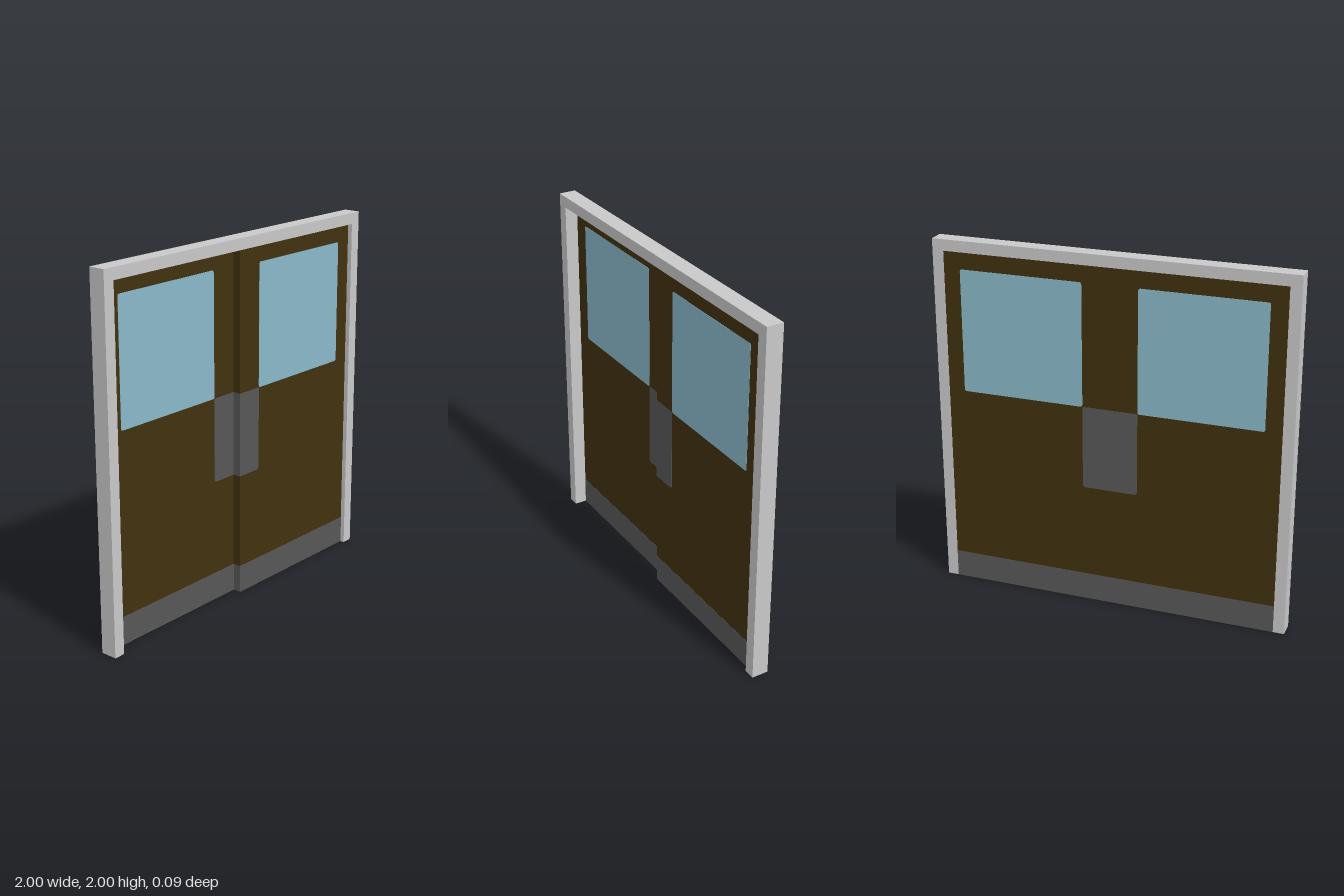
import * as THREE from 'three';

const DEPTH = 0.094, BACK = -DEPTH / 2, INNER = 0.9375, KICK = 0.157, PROUD = 0.0015;

const mat = (name, color) => {
  const m = new THREE.MeshStandardMaterial({ color });
  m.name = name;
  return m;
};

// Extrude a shape between two z planes
function slab(name, shape, z0, z1, material) {
  const geo = new THREE.ExtrudeGeometry(shape, { depth: z1 - z0, bevelEnabled: false, curveSegments: 3 });
  geo.translate(0, 0, z0);
  const mesh = new THREE.Mesh(geo, material);
  mesh.name = name;
  return mesh;
}

const polygon = (pts) => new THREE.Shape(pts.map(([x, y]) => new THREE.Vector2(x, y)));
const rect = (x0, y0, x1, y1) => polygon([[x0, y0], [x1, y0], [x1, y1], [x0, y1]]);

// Rectangle with small rounded corners
function roundedRect(x0, y0, x1, y1, r) {
  const s = new THREE.Shape();
  s.moveTo(x0 + r, y0);
  s.lineTo(x1 - r, y0).quadraticCurveTo(x1, y0, x1, y0 + r);
  s.lineTo(x1, y1 - r).quadraticCurveTo(x1, y1, x1 - r, y1);
  s.lineTo(x0 + r, y1).quadraticCurveTo(x0, y1, x0, y1 - r);
  s.lineTo(x0, y0 + r).quadraticCurveTo(x0, y0, x0 + r, y0);
  return s;
}

export function createModel() {
  const group = new THREE.Group();
  group.name = 'doubleDoor';
  const frameGrey = mat('frameGrey', 0xc8c8c8);
  const doorBrown = mat('doorBrown', 0x40310f);
  const plateGrey = mat('plateGrey', 0x575757);
  const glassBlue = mat('glassBlue', 0x8ab8c9);

  // Frame: two jambs and a header in one piece
  group.add(slab('frame', polygon([
    [-1, 0], [-INNER, 0], [-INNER, INNER + 1], [INNER, INNER + 1],
    [INNER, 0], [1, 0], [1, 2], [-1, 2],
  ]), BACK, -BACK, frameGrey));

  // Two leaves, flush at the back; the left one is thicker
  for (const [side, s, thickness] of [['left', 1, 0.07], ['right', -1, 0.0235]]) {
    const leaf = new THREE.Group();
    leaf.name = side + 'Leaf';
    const z0 = BACK, z1 = BACK + thickness;
    const span = (a, b) => (s > 0 ? [a, b] : [-b, -a]);

    const [d0, d1] = span(0, INNER);
    leaf.add(slab('doorPanel', rect(d0, KICK, d1, INNER + 1), z0 + PROUD, z1 - PROUD, doorBrown));
    leaf.add(slab('kickPlate', rect(d0, 0, d1, KICK), z0, z1, plateGrey));

    const [w0, w1] = span(0.155, 0.845);
    leaf.add(slab('window', roundedRect(w0, 1.157, w1, 1.845, 0.012), z0, z1, glassBlue));

    // Push plate wraps just over the meeting edge, outer lower corner rounded
    const r = 0.01, [p0, p1] = span(-0.001, 0.155);
    const plate = s > 0
      ? [[p0, 0.688], [p1 - r, 0.688], [p1, 0.688 + r], [p1, 1.157], [p0, 1.157]]
      : [[p0 + r, 0.688], [p1, 0.688], [p1, 1.157], [p0, 1.157], [p0, 0.688 + r]];
    leaf.add(slab('pushPlate', polygon(plate), z0, z1, plateGrey));
    group.add(leaf);
  }
  return group;
}
